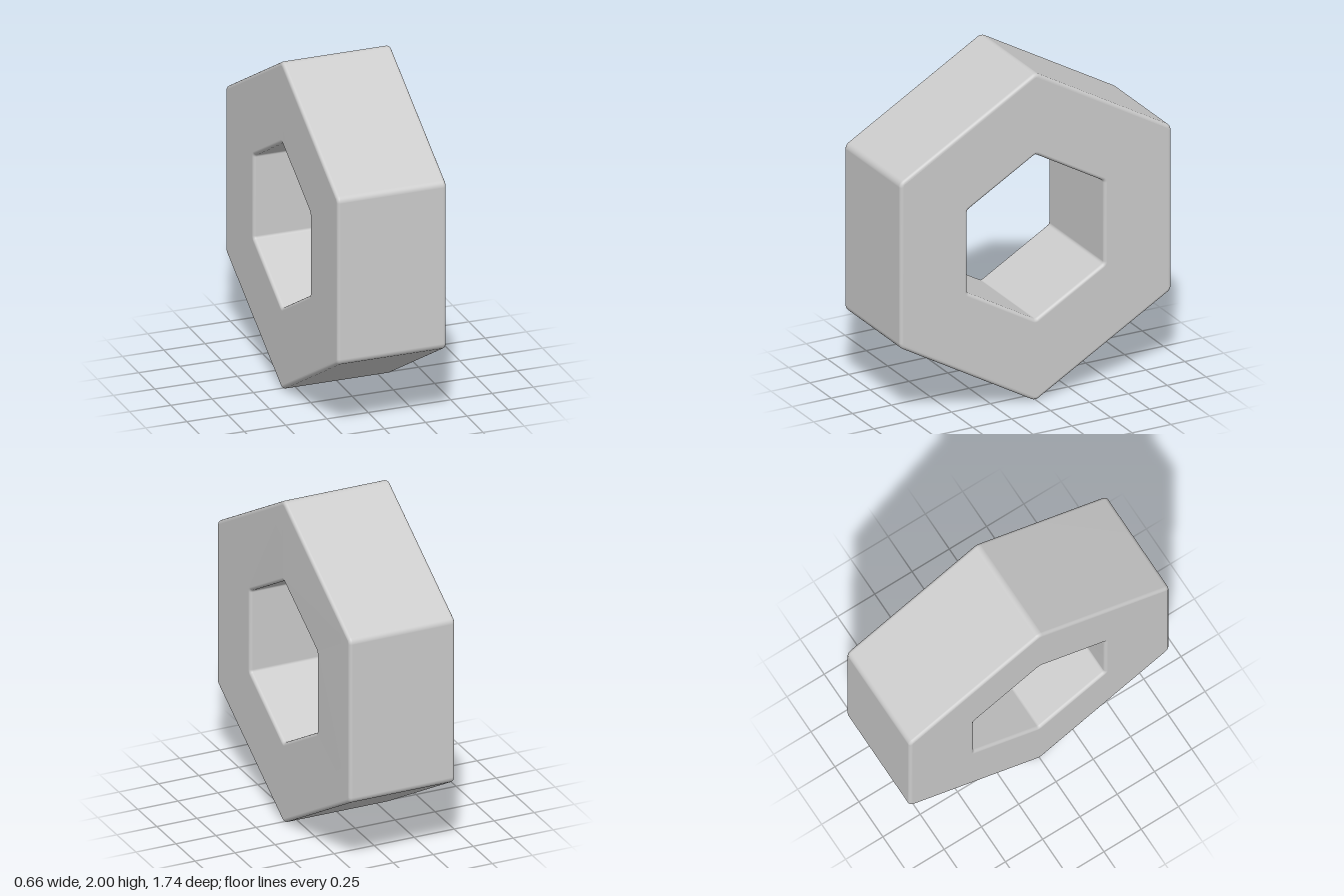
import * as THREE from 'three';
import { mergeVertices } from 'three/addons/utils/BufferGeometryUtils.js';

const BEVEL = 0.02;
const HALF_WIDTH = 0.33;

// Hexagon with a corner pointing up and rounded corners
function roundedHexagon(path, apothem, radius) {
  const centre = (apothem - radius) / Math.cos(Math.PI / 6);
  for (let i = 0; i < 6; i++) {
    const a = Math.PI / 2 + i * Math.PI / 3;
    path.absarc(centre * Math.cos(a), centre * Math.sin(a), radius, a - Math.PI / 6, a + Math.PI / 6, false);
  }
  path.closePath();
  return path;
}

export function createModel() {
  const group = new THREE.Group();
  group.name = 'hexagonalRing';

  // The bevel grows the outline and narrows the hole
  const shape = roundedHexagon(new THREE.Shape(), 0.872 - BEVEL, 0.0446 - BEVEL);
  shape.holes.push(roundedHexagon(new THREE.Path(), 0.4385 + BEVEL, 0.02 + BEVEL));

  let geometry = new THREE.ExtrudeGeometry(shape, {
    depth: 2 * (HALF_WIDTH - BEVEL),
    bevelEnabled: true,
    bevelSize: BEVEL,
    bevelThickness: BEVEL,
    bevelSegments: 5,
    curveSegments: 4,
  });

  // Area-weighted smooth normals keep the large faces flat and the edges soft
  geometry.deleteAttribute('normal');
  geometry.deleteAttribute('uv');
  geometry = mergeVertices(geometry, 1e-5);
  geometry.computeVertexNormals();

  // Hole runs along x, lowest corner on the ground
  geometry.translate(0, 0, BEVEL - HALF_WIDTH);
  geometry.rotateY(Math.PI / 2);
  geometry.translate(0, 1, 0);

  const ring = new THREE.Mesh(geometry, new THREE.MeshStandardMaterial({ color: 0xcccccc }));
  ring.name = 'nutBody';
  group.add(ring);
  return group;
}
